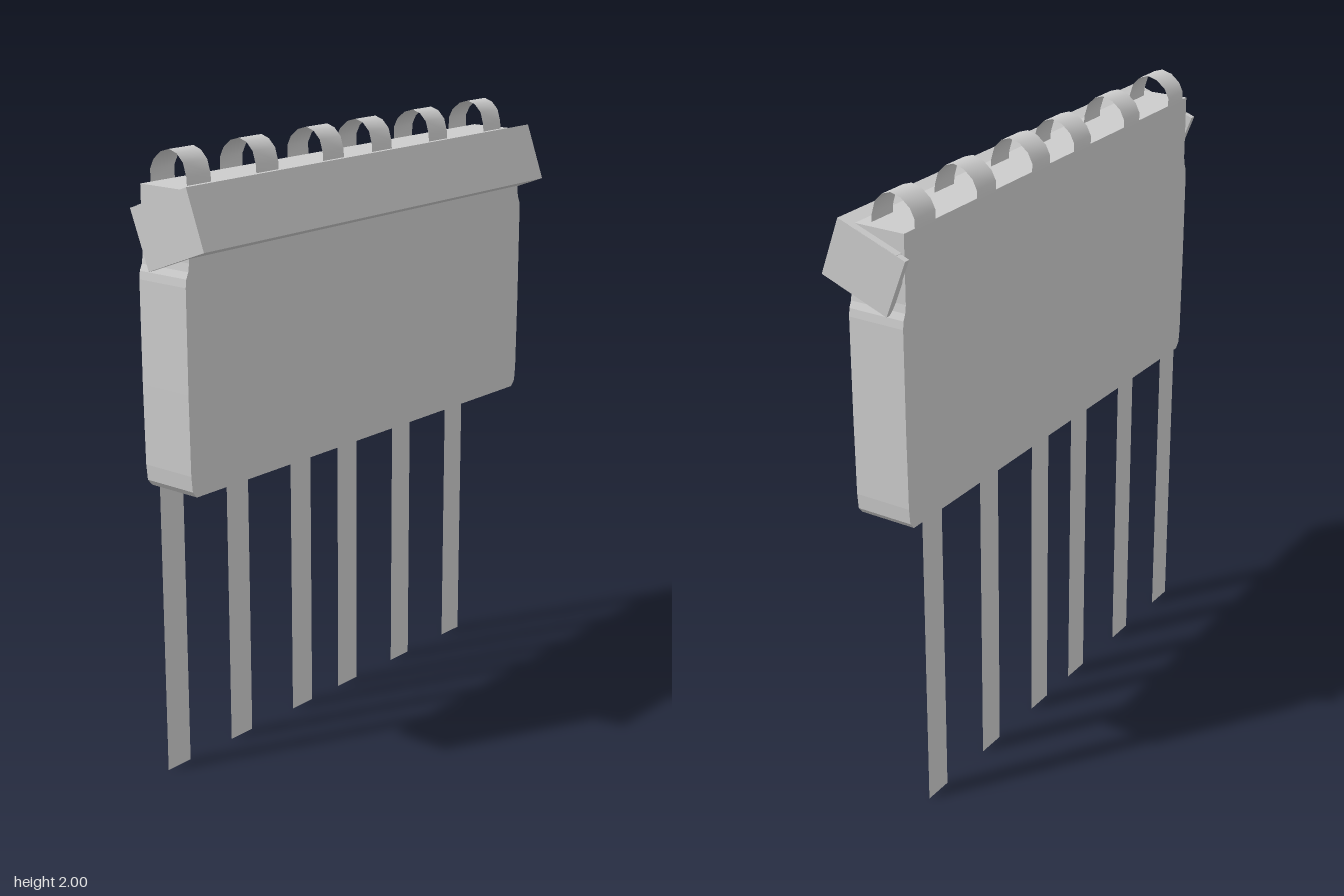
import * as THREE from 'three';

export function createModel() {
  const group = new THREE.Group();
  const solid = new THREE.MeshStandardMaterial({ color: 0xcccccc, flatShading: true });
  const thin = new THREE.MeshStandardMaterial({ color: 0xcccccc, side: THREE.DoubleSide });

  const add = (name, geometry, material) => {
    const mesh = new THREE.Mesh(geometry, material);
    mesh.name = name;
    group.add(mesh);
    return mesh;
  };
  const extrude = (points, depth) => new THREE.ExtrudeGeometry(
    new THREE.Shape(points.map(([x, y]) => new THREE.Vector2(x, y))),
    { depth, bevelEnabled: false });

  // Slab body: side outline (z, y) with clipped lower corners and a pinch below the flap
  const half = [[0.805, 0.98], [0.822, 1.0], [0.827, 1.05], [0.83, 1.3], [0.83, 1.62],
    [0.827, 1.645], [0.818, 1.665], [0.814, 1.69], [0.814, 1.9]];
  const outline = [...half, ...half.map(([z, y]) => [-z, y]).reverse()];
  const bodyGeometry = extrude(outline, 0.19);
  bodyGeometry.rotateY(Math.PI / 2);
  bodyGeometry.translate(-0.13, 0, 0);
  add('body', bodyGeometry, solid);

  // Tilted flap along the upper front edge
  const flap = [[-0.08, 1.65], [0.145, 1.735], [0.08, 1.915], [-0.12, 1.842], [-0.12, 1.753]];
  add('flap', extrude(flap, 1.676).translate(0, 0, -0.838), solid);

  // Flap end plates, reaching past the back of the body
  const plate = [[-0.08, 1.65], [0.145, 1.735], [0.08, 1.915], [-0.15, 1.83]];
  for (const side of [-1, 1]) {
    const geometry = extrude(plate, 0.02).translate(0, 0, side * 0.829 - 0.01);
    add('flapEnd', geometry, solid);
  }

  // Thin straps that hang down the back and loop over the top
  const path = [[0.005, 1.88], [0.002, 1.925], [-0.01, 1.965], [-0.035, 1.99], [-0.065, 2.0],
    [-0.1, 1.99], [-0.13, 1.965], [-0.145, 1.935], [-0.145, 1.9], [-0.145, 0]];
  for (const z of [-0.733, -0.428, -0.132, 0.108, 0.414, 0.708]) {
    const geometry = new THREE.PlaneGeometry(0.1, 1, 1, path.length - 1);
    const position = geometry.attributes.position;
    for (let i = 0; i < position.count; i++) {
      const [x, y] = path[Math.floor(i / 2)];
      position.setXYZ(i, x, y, z + (i % 2 ? -0.05 : 0.05));
    }
    geometry.computeVertexNormals();
    add('strap', geometry, thin);
  }
  return group;
}
